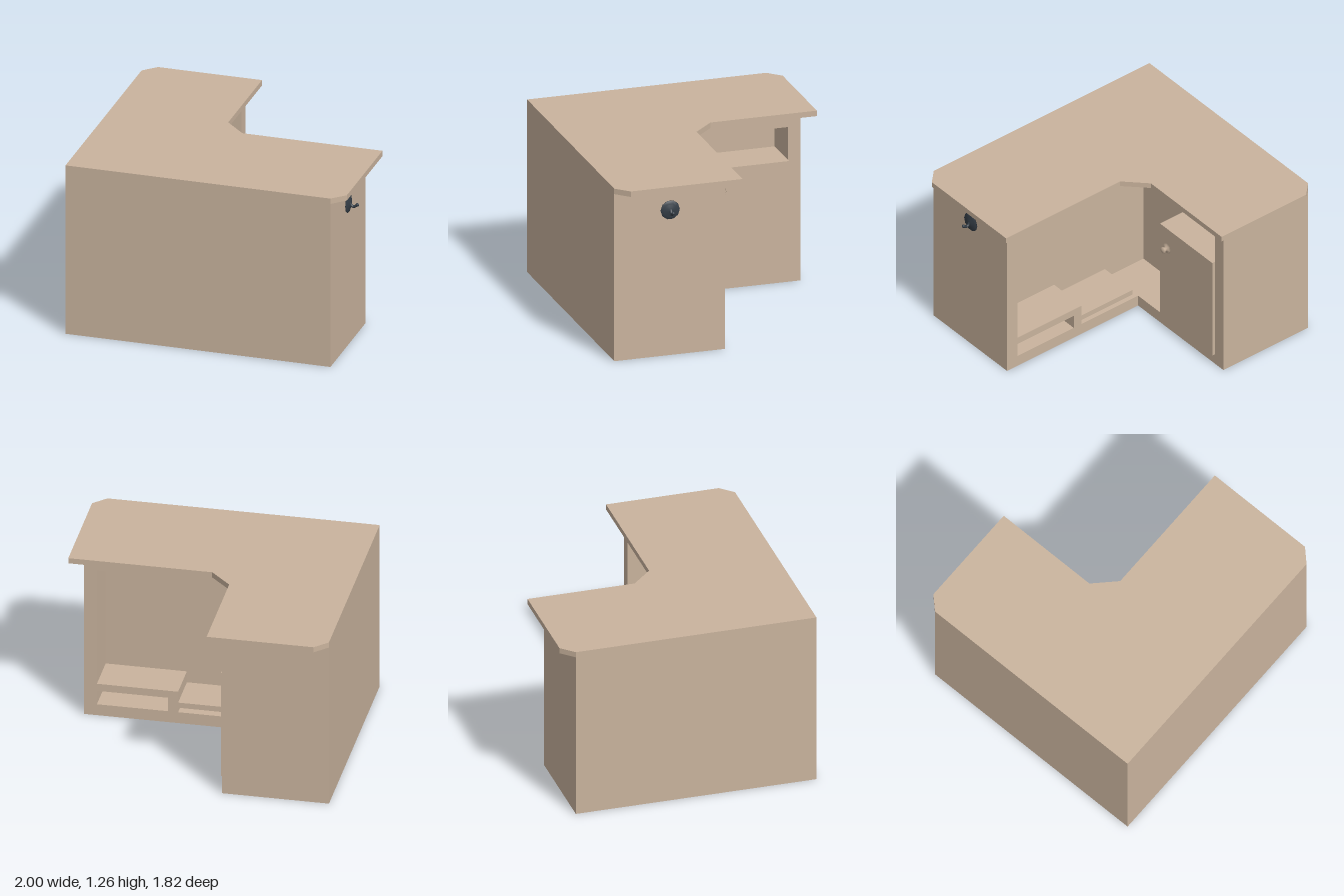
import * as THREE from 'three';

export function createModel() {
  const desk = new THREE.Group();
  desk.name = 'cornerDesk';
  const wood = new THREE.MeshStandardMaterial({ color: 0xc9b39d });
  wood.name = 'tan wood';
  const iron = new THREE.MeshStandardMaterial({ color: 0x353e47 });
  iron.name = 'dark iron';

  const add = (name, geometry, material = wood, parent = desk) => {
    const mesh = new THREE.Mesh(geometry, material);
    mesh.name = name;
    parent.add(mesh);
    return mesh;
  };

  // Horizontal slab from an [x, z] outline, between heights y0 and y1
  const slab = (name, outline, y0, y1) => {
    const shape = new THREE.Shape(outline.map(([x, z]) => new THREE.Vector2(x, -z)));
    const geometry = new THREE.ExtrudeGeometry(shape, { depth: y1 - y0, bevelEnabled: false });
    geometry.rotateX(-Math.PI / 2).translate(0, y0, 0);
    return add(name, geometry);
  };

  // Box given by its limits on each axis
  const block = (name, [x0, x1], [y0, y1], [z0, z1]) => {
    const geometry = new THREE.BoxGeometry(x1 - x0, y1 - y0, z1 - z0);
    return add(name, geometry.translate((x0 + x1) / 2, (y0 + y1) / 2, (z0 + z1) / 2));
  };

  // Counter top with clipped corners
  slab('counterTop', [
    [-1, 0.91], [0.91, 0.91], [1, 0.82], [1, 0.01], [-0.01, 0.01],
    [-0.16, -0.14], [-0.16, -0.91], [-0.91, -0.91], [-1, -0.82],
  ], 1.22, 1.26);

  // L-shaped carcass: plinth, recessed core and header
  const back = [[-1, 0.91], [0.91, 0.91]];
  slab('plinth', [...back, [0.91, 0.11], [-0.25, 0.11], [-0.25, -0.82], [-1, -0.82]], 0, 0.085);
  slab('core', [...back, [0.91, 0.41], [-0.54, 0.41], [-0.54, -0.82], [-1, -0.82]], 0.085, 1.13);
  slab('header', [
    ...back, [0.91, 0.11], [-0.11, 0.11], [-0.25, -0.03], [-0.25, -0.82], [-1, -0.82],
  ], 1.13, 1.22);
  block('leftEndPanel', [0.82, 0.91], [0.085, 1.13], [0.11, 0.41]);
  block('backEndPanel', [-0.54, -0.25], [0.085, 1.13], [-0.82, -0.73]);

  // Low shelves inside the long recess
  block('lowShelf', [0.32, 0.82], [0.19, 0.245], [0.11, 0.41]);
  block('shelfDivider', [0.25, 0.32], [0.085, 0.245], [0.11, 0.41]);
  block('footShelf', [-0.2, 0.25], [0.12, 0.16], [0.11, 0.41]);

  // Cupboard with an overlay door
  block('cupboardSide', [-0.54, -0.225], [0.085, 0.84], [-0.168, -0.16]);
  block('cupboardBody', [-0.54, -0.25], [0.085, 0.84], [-0.73, -0.168]);
  block('cupboardTop', [-0.54, -0.225], [0.84, 0.89], [-0.73, -0.16]);
  block('cupboardDoor', [-0.25, -0.225], [0.085, 0.84], [-0.73, -0.168]);

  // Round fittings turned about an axis that points to +x
  const turned = (points, sides) => new THREE.LatheGeometry(
    points.map(([r, d]) => new THREE.Vector2(r, d)), sides).rotateZ(-Math.PI / 2);

  const knob = add('doorKnob', turned([
    [0, 0], [0.042, 0], [0.036, 0.008], [0.016, 0.012], [0.016, 0.025],
    [0.025, 0.032], [0.022, 0.042], [0, 0.045],
  ], 8));
  knob.position.set(-0.225, 0.72, -0.235);

  // Wall hook on the end panel
  const hook = new THREE.Group();
  hook.name = 'wallHook';
  hook.position.set(0.91, 1.06, 0.505);
  desk.add(hook);
  add('hookPlate', turned([
    [0, 0], [0.07, 0], [0.068, 0.005], [0.048, 0.012], [0.04, 0.011], [0.025, 0.018], [0, 0.02],
  ], 10), iron, hook);
  const path = new THREE.CatmullRomCurve3([
    [0.012, 0.005], [0.022, -0.012], [0.036, -0.021], [0.052, -0.015], [0.066, -0.004],
  ].map(([x, y]) => new THREE.Vector3(x, y, 0)));
  add('hookArm', new THREE.TubeGeometry(path, 12, 0.01, 8), iron, hook);
  const tip = add('hookTip', new THREE.SphereGeometry(0.012, 8, 6), iron, hook);
  tip.position.set(0.066, -0.004, 0);

  return desk;
}
